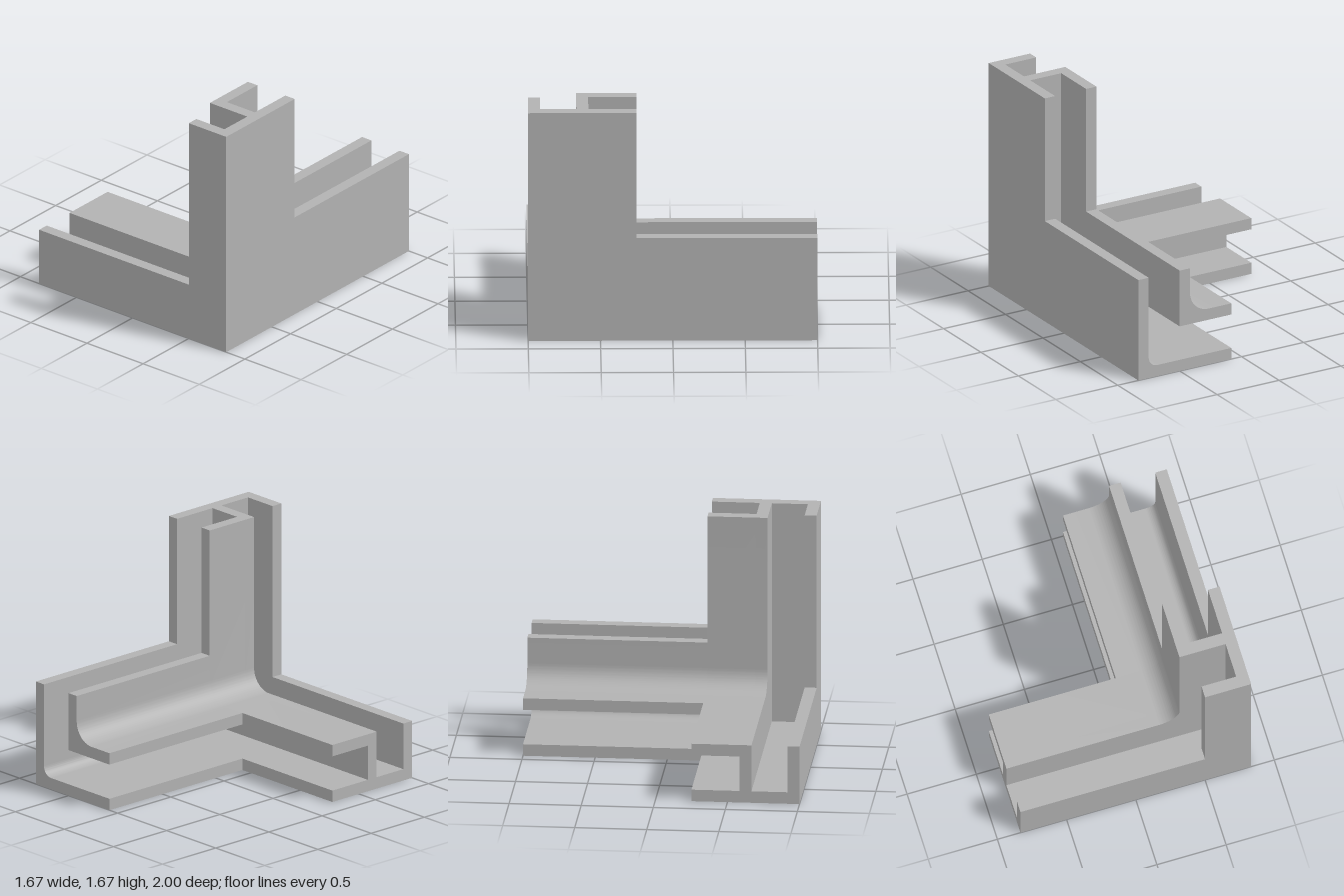
import * as THREE from 'three';
import { toCreasedNormals } from 'three/addons/utils/BufferGeometryUtils.js';

// Three-way corner bracket laid out on a 1/12 unit wall thickness
const T = 1 / 12;
const W = 10 * T;            // half width, x
const H = 20 * T;            // full height
const IN = 5 * T;            // inner face of the upright and top of the shelf
const BACK = 3 * T;          // rear edge of the left and upright arms
const LOW = 9 * T;           // height of the back arm
const R = 0.15;              // shelf fillet radius

const metal = new THREE.MeshStandardMaterial({ color: 0xb2b2b2 });
metal.name = 'grey plastic';

function polygon(points) {
  return new THREE.Shape(points.map(([x, y]) => new THREE.Vector2(x, y)));
}

function extrude(shape, depth) {
  return new THREE.ExtrudeGeometry(shape, { depth, bevelEnabled: false, curveSegments: 16 });
}

// L-shaped profile with a rounded inner corner, drawn in x and y
function filletedL(left, bottom, right, top) {
  const s = new THREE.Shape();
  s.moveTo(left, bottom);
  s.lineTo(right, bottom);
  s.lineTo(right, top);
  s.lineTo(IN, top);
  s.lineTo(IN, IN + R);
  s.absarc(IN - R, IN + R, R, 0, -Math.PI / 2, true);
  s.lineTo(left, IN);
  s.closePath();
  return s;
}

export function createModel() {
  const group = new THREE.Group();
  group.name = 'cornerBracket';

  const add = (name, geometry) => {
    const mesh = new THREE.Mesh(toCreasedNormals(geometry, 0.5), metal);
    mesh.name = name;
    group.add(mesh);
  };
  const addAlongZ = (name, shape, z0, z1) =>
    add(name, extrude(shape, z1 - z0).translate(0, 0, z0));

  // Floor: L in plan, drawn as x and -z
  const floor = polygon([
    [-W, -11 * T], [9 * T, -11 * T], [9 * T, 1], [T, 1], [T, -BACK], [-W, -BACK],
  ]);
  add('floor', extrude(floor, T).rotateX(-Math.PI / 2));

  // Outer front wall
  const front = polygon([[-W, 0], [W, 0], [W, H], [6 * T, H], [6 * T, IN], [-W, IN]]);
  addAlongZ('frontWall', front, 11 * T, 1);

  // Outer side wall, drawn as -z and y
  const side = polygon([
    [-11 * T, 0], [1, 0], [1, LOW], [-BACK, LOW], [-BACK, H], [-11 * T, H],
  ]);
  add('sideWall', extrude(side, T).rotateY(Math.PI / 2).translate(9 * T, 0, 0));

  // Web joining the floor, shelf and side wall
  addAlongZ('web', filletedL(-W, T, 9 * T, H), 7 * T, 8 * T);

  // Inner shelf and upright, tall beside the web and low on the back arm
  addAlongZ('innerUpright', filletedL(-W, 4 * T, 6 * T, H), BACK, 7 * T);
  addAlongZ('innerBackRail', filletedL(T, 4 * T, 6 * T, LOW), -1, BACK);

  // Rounded inside corner between floor and side wall
  const r = 0.07;
  const cove = new THREE.Shape();
  cove.moveTo(9 * T, T);
  cove.lineTo(9 * T, T + r);
  cove.absarc(9 * T - r, T + r, r, 0, -Math.PI / 2, true);
  cove.closePath();
  addAlongZ('floorCove', cove, -1, 7 * T);

  return group;
}
